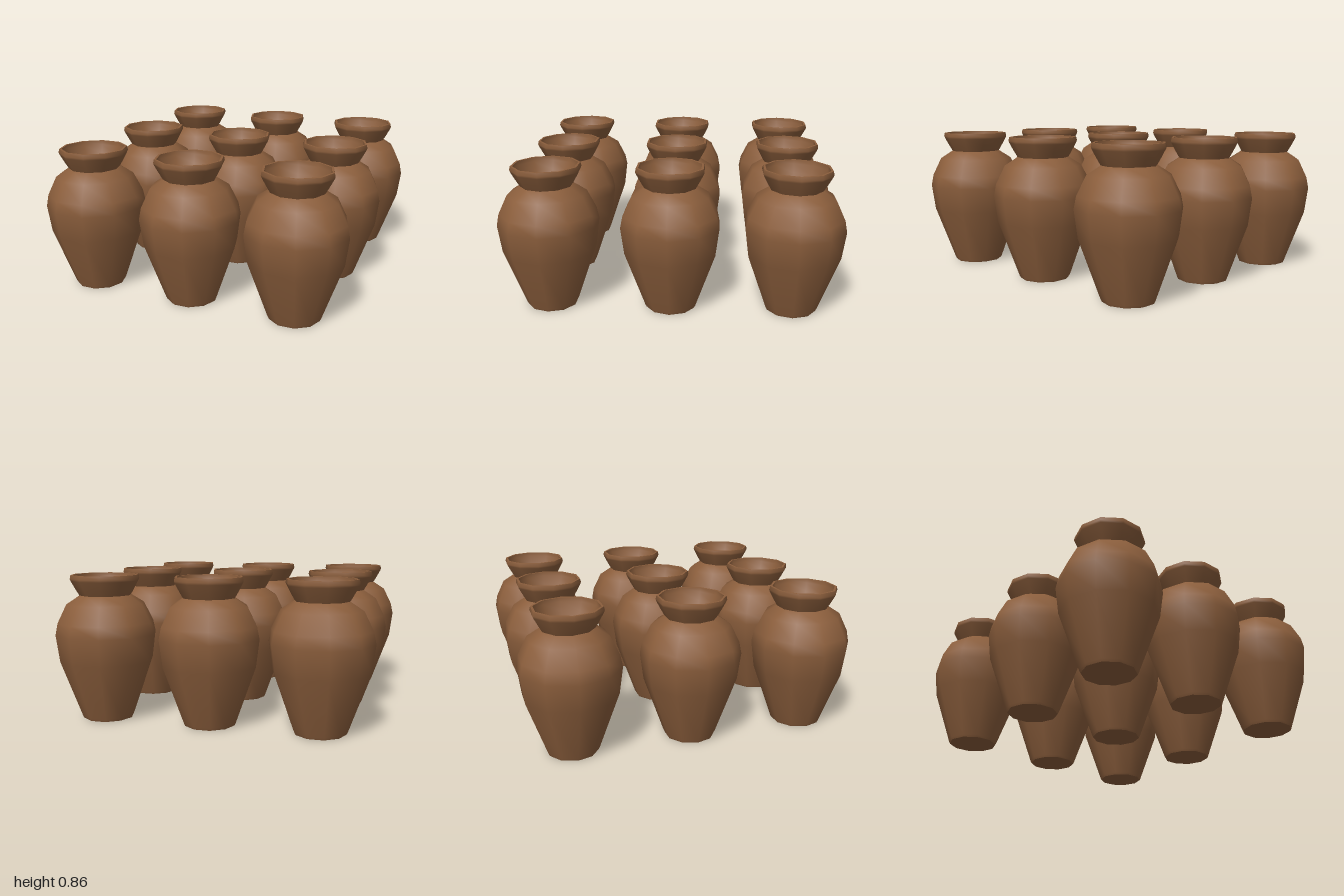
import * as THREE from 'three';

const SIDES = 10;

// Ten-sided lathe with a corner pointing along +x
function lathe(name, profile, material) {
  const points = profile.map(([r, y]) => new THREE.Vector2(r, y));
  const mesh = new THREE.Mesh(new THREE.LatheGeometry(points, SIDES, Math.PI / 2), material);
  mesh.name = name;
  return mesh;
}

function createJar(clay) {
  const jar = new THREE.Group();
  jar.add(
    // flat underside
    lathe('base', [[0, 0], [0.15, 0]], clay),
    // swelling body up to the neck
    lathe('body', [
      [0.15, 0], [0.157, 0.015], [0.277, 0.35], [0.298, 0.51],
      [0.284, 0.58], [0.23, 0.69], [0.153, 0.74],
    ], clay),
    // flared collar
    lathe('collar', [
      [0.153, 0.74], [0.175, 0.778], [0.2, 0.825], [0.205, 0.838], [0.2, 0.86],
    ], clay),
    // flat lip
    lathe('lip', [[0.2, 0.86], [0.187, 0.86]], clay),
    // hollow inside
    lathe('innerCollar', [[0.187, 0.86], [0.184, 0.835], [0.162, 0.785], [0.142, 0.745]], clay),
    lathe('innerWall', [
      [0.142, 0.745], [0.215, 0.68], [0.268, 0.575], [0.282, 0.51],
      [0.261, 0.35], [0.147, 0.03],
    ], clay),
    lathe('innerFloor', [[0.147, 0.03], [0, 0.03]], clay),
  );
  return jar;
}

export function createModel() {
  const clay = new THREE.MeshStandardMaterial({ color: 0x8b5e3c });
  clay.name = 'brown clay';

  // three by three grid of jars
  const model = new THREE.Group();
  model.name = 'jars';
  const prototype = createJar(clay);
  for (let row = -1; row <= 1; row++) {
    for (let column = -1; column <= 1; column++) {
      const jar = prototype.clone();
      jar.name = `jarRow${row + 2}Column${column + 2}`;
      jar.position.set(column * 0.648, 0, row * 0.7166);
      model.add(jar);
    }
  }
  return model;
}
